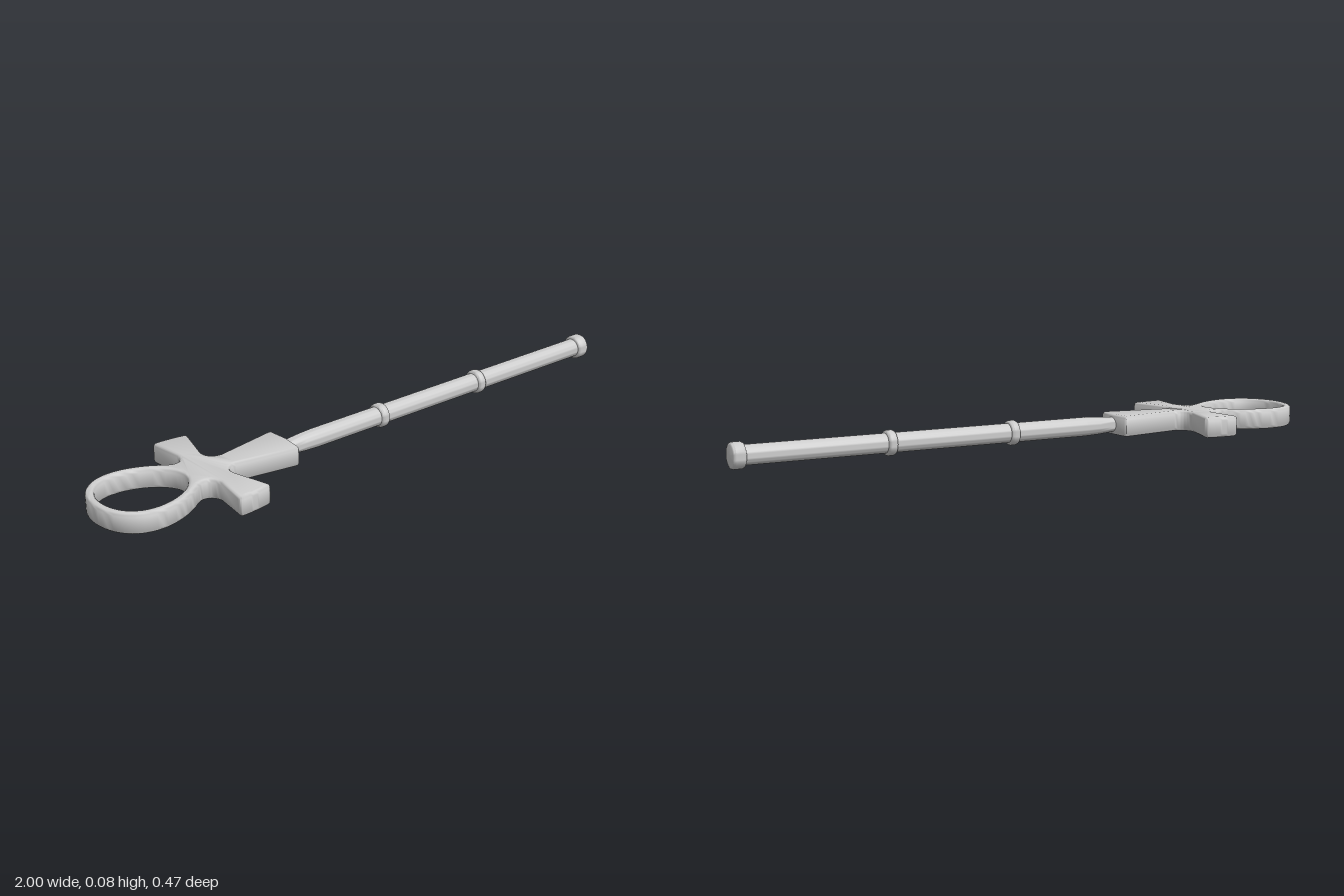
import * as THREE from 'three';
import { toCreasedNormals } from 'three/addons/utils/BufferGeometryUtils.js';

const AXIS_Y = 0.041;
const material = new THREE.MeshStandardMaterial({ color: 0xcccccc });

// Turned part lying along x; profile is a list of [x, radius]
function turned(name, profile) {
  const points = profile.map(([x, r]) => new THREE.Vector2(r, x));
  const geometry = toCreasedNormals(new THREE.LatheGeometry(points, 32), 0.9);
  geometry.rotateZ(-Math.PI / 2);
  const mesh = new THREE.Mesh(geometry, material);
  mesh.name = name;
  mesh.position.y = AXIS_Y;
  return mesh;
}

// Collar with rounded edges
function collar(name, x, width, radius) {
  const h = width / 2, b = 0.008;
  return turned(name, [
    [x - h, 0], [x - h, radius - b], [x - h + b * 0.3, radius - b * 0.3], [x - h + b, radius],
    [x + h - b, radius], [x + h - b * 0.3, radius - b * 0.3], [x + h, radius - b], [x + h, 0],
  ]);
}

// Looped cross: one half of the outline, mirrored over the x axis
function headGeometry() {
  const half = new THREE.Path();
  half.moveTo(-1, 0);
  half.bezierCurveTo(-1, 0.085, -0.945, 0.15, -0.86, 0.15);
  half.bezierCurveTo(-0.80, 0.15, -0.74, 0.12, -0.70, 0.088);
  half.bezierCurveTo(-0.675, 0.07, -0.645, 0.07, -0.638, 0.115);
  half.lineTo(-0.651, 0.22);
  half.quadraticCurveTo(-0.652, 0.233, -0.636, 0.233);
  half.quadraticCurveTo(-0.59, 0.232, -0.546, 0.223);
  half.quadraticCurveTo(-0.531, 0.22, -0.534, 0.208);
  half.lineTo(-0.568, 0.09);
  half.quadraticCurveTo(-0.575, 0.042, -0.53, 0.04);
  half.lineTo(-0.328, 0.075);
  half.quadraticCurveTo(-0.315, 0.077, -0.314, 0.062);
  half.lineTo(-0.308, 0);

  const hole = new THREE.Path();
  hole.moveTo(-0.972, 0);
  hole.bezierCurveTo(-0.972, 0.07, -0.93, 0.121, -0.86, 0.121);
  hole.bezierCurveTo(-0.78, 0.121, -0.692, 0.065, -0.692, 0);

  const mirrored = (path) => {
    const side = path.getPoints(12);
    const other = side.slice(1, -1).reverse().map((p) => new THREE.Vector2(p.x, -p.y));
    return [...side, ...other];
  };
  // The hole runs opposite to the outline so its wall faces inward
  const shape = new THREE.Shape(mirrored(half));
  shape.holes.push(new THREE.Path(mirrored(hole).reverse()));

  const bevel = 0.012, thickness = 0.068;
  const geometry = new THREE.ExtrudeGeometry(shape, {
    depth: thickness - 2 * bevel, bevelThickness: bevel,
    bevelSize: bevel, bevelOffset: -bevel, bevelSegments: 3,
  });
  geometry.translate(0, 0, bevel - thickness / 2);
  geometry.rotateX(Math.PI / 2);
  return toCreasedNormals(geometry, 0.9);
}

export function createModel() {
  const group = new THREE.Group();
  group.name = 'loopedCrossStaff';

  const head = new THREE.Mesh(headGeometry(), material);
  head.name = 'loopedCross';
  head.position.y = AXIS_Y;
  group.add(head);

  // Shaft narrows where it enters the head
  group.add(turned('shaft', [
    [-0.34, 0], [-0.34, 0.024], [-0.30, 0.025], [-0.25, 0.029], [-0.2, 0.031], [0.97, 0.031], [0.97, 0],
  ]));

  group.add(collar('innerRing', 0.066, 0.03, 0.04));
  group.add(collar('outerRing', 0.491, 0.03, 0.04));
  group.add(collar('endCap', 0.979, 0.042, 0.041));
  return group;
}
